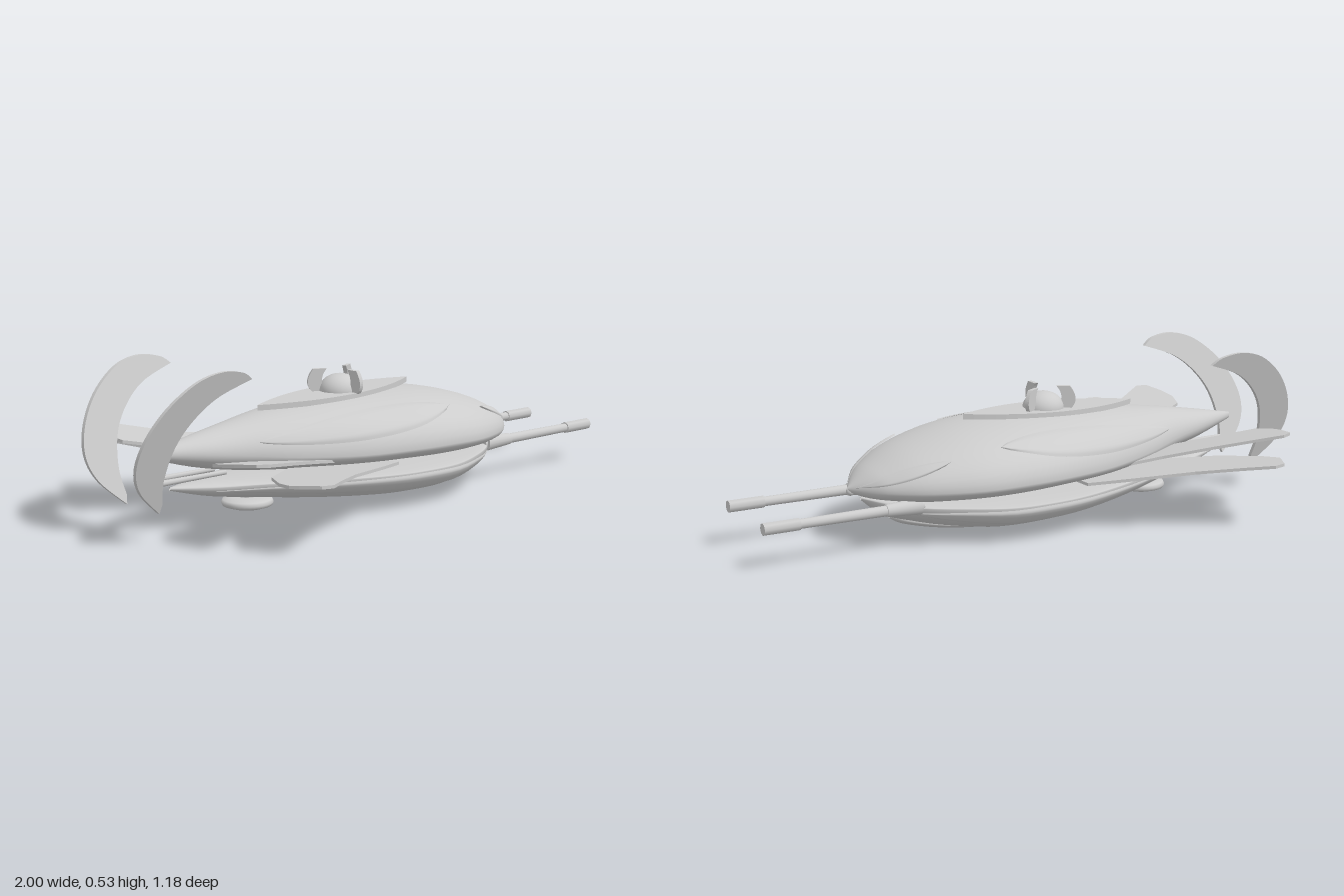
import * as THREE from 'three';

const hullGrey = new THREE.MeshStandardMaterial({ color: 0xcccccc, side: THREE.DoubleSide });
hullGrey.name = 'hull grey';

// Section rows: x, half width, widest height, top, bottom
const UPPER = [
  [-0.85, 0.004, 0.25, 0.262, 0.24], [-0.7, 0.065, 0.24, 0.29, 0.195], [-0.55, 0.115, 0.225, 0.315, 0.165],
  [-0.4, 0.185, 0.21, 0.335, 0.15], [-0.2, 0.26, 0.2, 0.355, 0.14], [0, 0.305, 0.2, 0.36, 0.135],
  [0.15, 0.318, 0.2, 0.355, 0.13], [0.3, 0.3, 0.195, 0.335, 0.13], [0.45, 0.235, 0.19, 0.295, 0.13],
  [0.55, 0.155, 0.185, 0.25, 0.14], [0.6, 0.09, 0.18, 0.22, 0.15], [0.645, 0.006, 0.175, 0.182, 0.168],
];
const LOWER = [
  [-0.78, 0.004, 0.135, 0.14, 0.13], [-0.65, 0.07, 0.13, 0.145, 0.095], [-0.5, 0.13, 0.128, 0.142, 0.07],
  [-0.3, 0.22, 0.125, 0.14, 0.042], [-0.1, 0.285, 0.122, 0.135, 0.02], [0.05, 0.302, 0.12, 0.135, 0.01],
  [0.2, 0.292, 0.12, 0.135, 0.01], [0.35, 0.235, 0.125, 0.135, 0.032], [0.45, 0.17, 0.125, 0.14, 0.055],
  [0.53, 0.1, 0.13, 0.145, 0.08], [0.6, 0.006, 0.14, 0.145, 0.135],
];
const KEEL = [
  [-0.25, 0.004, 0.04, 0.042, 0.034], [-0.1, 0.06, 0.03, 0.05, 0.01], [0.05, 0.09, 0.02, 0.06, 0],
  [0.2, 0.1, 0.02, 0.07, 0.002], [0.35, 0.1, 0.04, 0.09, 0.018], [0.46, 0.06, 0.058, 0.09, 0.04],
  [0.5, 0.004, 0.065, 0.07, 0.06],
];

// Smoothly interpolated section, t running 0..1 from tail to nose
function sampler(rows) {
  const curves = [1, 2, 3, 4].map(c => new THREE.SplineCurve(rows.map(r => new THREE.Vector2(r[0], r[c]))));
  return t => {
    const p = curves.map(c => c.getPoint(t));
    return [p[0].x, ...p.map(q => q.y)];
  };
}

function sectionPoint([x, w, yc, top, bottom], a, k = 1) {
  const s = Math.sin(a);
  return [x, yc + k * s * (s > 0 ? top - yc : yc - bottom), k * w * Math.cos(a)];
}

function gridGeometry(nu, nv, closed, point) {
  const pos = [], idx = [], cols = closed ? nv : nv + 1;
  for (let i = 0; i <= nu; i++) for (let j = 0; j < cols; j++) pos.push(...point(i / nu, j / nv));
  for (let i = 0; i < nu; i++) for (let j = 0; j < nv; j++) {
    const a = i * cols + j, b = i * cols + (j + 1) % cols;
    idx.push(a, a + cols, b, b, a + cols, b + cols);
  }
  const g = new THREE.BufferGeometry();
  g.setAttribute('position', new THREE.Float32BufferAttribute(pos, 3));
  g.setIndex(idx);
  g.computeVertexNormals();
  return g;
}

const loft = rows => {
  const at = sampler(rows);
  return gridGeometry(44, 40, true, (u, v) => sectionPoint(at(u), v * Math.PI * 2));
};

// Leaf-shaped overlay on a hull: range t0..t1, angle moving a0..a1, half spread
function petal(rows, t0, t1, a0, a1, spread, lift, side) {
  const at = sampler(rows), lerp = THREE.MathUtils.lerp;
  return gridGeometry(24, 12, false, (u, v) => {
    const a = lerp(a0, a1, u) + (v * 2 - 1) * spread * Math.pow(Math.sin(Math.PI * u), 0.7);
    const edge = Math.min(1, 6 * Math.min(v, 1 - v));
    const p = sectionPoint(at(lerp(t0, t1, u)), a, 1 + lift * (0.3 + 0.7 * edge));
    p[2] *= side;
    return p;
  });
}

// Thin plate laid out in x and z, raised by a height rule
function fin(points, side, height) {
  const shape = new THREE.Shape();
  shape.moveTo(points[0][0], side * points[0][1]);
  points.slice(1).forEach(([x, z]) => shape.lineTo(x, side * z));
  const g = new THREE.ExtrudeGeometry(shape, { depth: 0.01, bevelEnabled: false });
  g.rotateX(Math.PI / 2);
  const p = g.attributes.position;
  for (let i = 0; i < p.count; i++) p.setY(i, p.getY(i) + height(p.getX(i), Math.abs(p.getZ(i))));
  g.computeVertexNormals();
  return g;
}

function crescent(side) {
  const s = new THREE.Shape();
  const spline = pts => s.splineThru(pts.map(q => new THREE.Vector2(...q)));
  s.moveTo(-0.62, 0.49);
  spline([[-0.66, 0.515], [-0.74, 0.525], [-0.83, 0.5], [-0.92, 0.43], [-0.98, 0.34], [-1, 0.25], [-0.97, 0.17], [-0.885, 0.09]]);
  s.lineTo(-0.88, 0.12);
  spline([[-0.89, 0.2], [-0.87, 0.3], [-0.82, 0.38], [-0.74, 0.445], [-0.62, 0.49]]);
  const g = new THREE.ExtrudeGeometry(s, { depth: 0.014, bevelEnabled: false, curveSegments: 24 });
  const p = g.attributes.position;
  for (let i = 0; i < p.count; i++) p.setZ(i, p.getZ(i) - 0.007 + side * (0.085 + (p.getY(i) - 0.09) * 0.31));
  g.computeVertexNormals();
  return g;
}

export function createModel() {
  const model = new THREE.Group();
  model.name = 'finnedCraft';
  const add = (name, geometry, x = 0, y = 0, z = 0) => {
    const mesh = new THREE.Mesh(geometry, hullGrey);
    mesh.name = name;
    mesh.position.set(x, y, z);
    model.add(mesh);
    return mesh;
  };
  const rod = (r1, r2, length, sides = 16) => new THREE.CylinderGeometry(r1, r2, length, sides).rotateZ(-Math.PI / 2);

  // Hull shells
  add('upperHull', loft(UPPER));
  add('lowerHull', loft(LOWER));
  add('keel', loft(KEEL));

  for (const side of [1, -1]) {
    const tag = side > 0 ? 'Front' : 'Rear';
    // Overlapping armour leaves
    add('flankLeaf' + tag, petal(UPPER, 0.2, 0.58, 0.45, 0.8, 0.3, 0.035, side));
    add('browLeaf' + tag, petal(UPPER, 0.68, 0.97, 0.75, 0.5, 0.22, 0.06, side));
    add('bellyLeaf' + tag, petal(LOWER, 0.08, 0.85, -0.35, -0.3, 0.3, 0.03, side));

    // Swept side fins
    add('lowerFin' + tag, fin([[-0.08, 0.29], [-0.2, 0.35], [-0.4, 0.44], [-0.53, 0.525], [-0.615, 0.588], [-0.655, 0.58],
      [-0.69, 0.52], [-0.705, 0.49], [-0.685, 0.42], [-0.6, 0.28], [-0.4, 0.12], [-0.1, 0.15]], side,
    (x, z) => 0.135 + 0.1 * z - 0.05 * x));
    add('upperFin' + tag, fin([[-0.25, 0.2], [-0.4, 0.255], [-0.55, 0.33], [-0.66, 0.395], [-0.75, 0.452], [-0.785, 0.44],
      [-0.805, 0.36], [-0.81, 0.3], [-0.79, 0.235], [-0.65, 0.17], [-0.5, 0.1], [-0.25, 0.1]], side,
    (x, z) => 0.125 + 0.15 * z - 0.12 * x));
    add('tailCrescent' + tag, crescent(side));

    // Guns
    const z = side * 0.147;
    add('gunBarrel' + tag, rod(0.015, 0.018, 0.5), 0.7, 0.132, z);
    add('gunMuzzle' + tag, rod(0.02, 0.02, 0.12, 8), 0.935, 0.132, z);
    add('gunCollar' + tag, rod(0.02, 0.028, 0.12), 0.52, 0.132, z);
    add('exhaustRod' + tag, rod(0.008, 0.01, 0.25, 8), -0.71, 0.165, side * 0.03);
  }

  // Dorsal deck with pointed ends
  const deck = new THREE.Shape();
  deck.moveTo(-0.43, 0);
  deck.quadraticCurveTo(-0.1, 0.185, 0.225, 0);
  deck.quadraticCurveTo(-0.1, -0.185, -0.43, 0);
  const deckMesh = add('dorsalDeck', new THREE.ExtrudeGeometry(deck, { depth: 0.018, bevelEnabled: false, curveSegments: 20 })
    .rotateX(Math.PI / 2), 0, 0.369, 0);
  deckMesh.rotation.z = 0.03;

  // Domed turret with three curved claws
  add('turretDome', new THREE.SphereGeometry(0.07, 32, 12, 0, Math.PI * 2, 0, Math.PI / 2).scale(1, 0.8, 1), -0.08, 0.365, 0);
  const claw = new THREE.Shape();
  claw.moveTo(0.05, 0);
  claw.lineTo(0.095, 0);
  claw.quadraticCurveTo(0.125, 0.03, 0.09, 0.075);
  claw.lineTo(0.045, 0.075);
  claw.quadraticCurveTo(0.075, 0.04, 0.05, 0);
  for (let i = 0; i < 3; i++) {
    const g = new THREE.ExtrudeGeometry(claw, { depth: 0.014, bevelEnabled: false });
    g.translate(0, 0, -0.007);
    add('turretClaw' + (i + 1), g, -0.08, 0.364, 0).rotation.y = -Math.PI / 2 + i * Math.PI * 2 / 3;
  }

  // Belly sensor pod
  add('bellyPod', new THREE.LatheGeometry([[0, 0], [0.055, 0], [0.08, 0.008], [0.085, 0.018], [0.08, 0.028], [0.055, 0.036], [0, 0.036]]
    .map(p => new THREE.Vector2(...p)), 32), -0.475, 0.03, 0);
  add('podStem', new THREE.CylinderGeometry(0.03, 0.03, 0.05, 16), -0.475, 0.075, 0);
  add('noseBall', new THREE.SphereGeometry(0.014, 16, 12), 0.635, 0.168, 0);
  return model;
}
